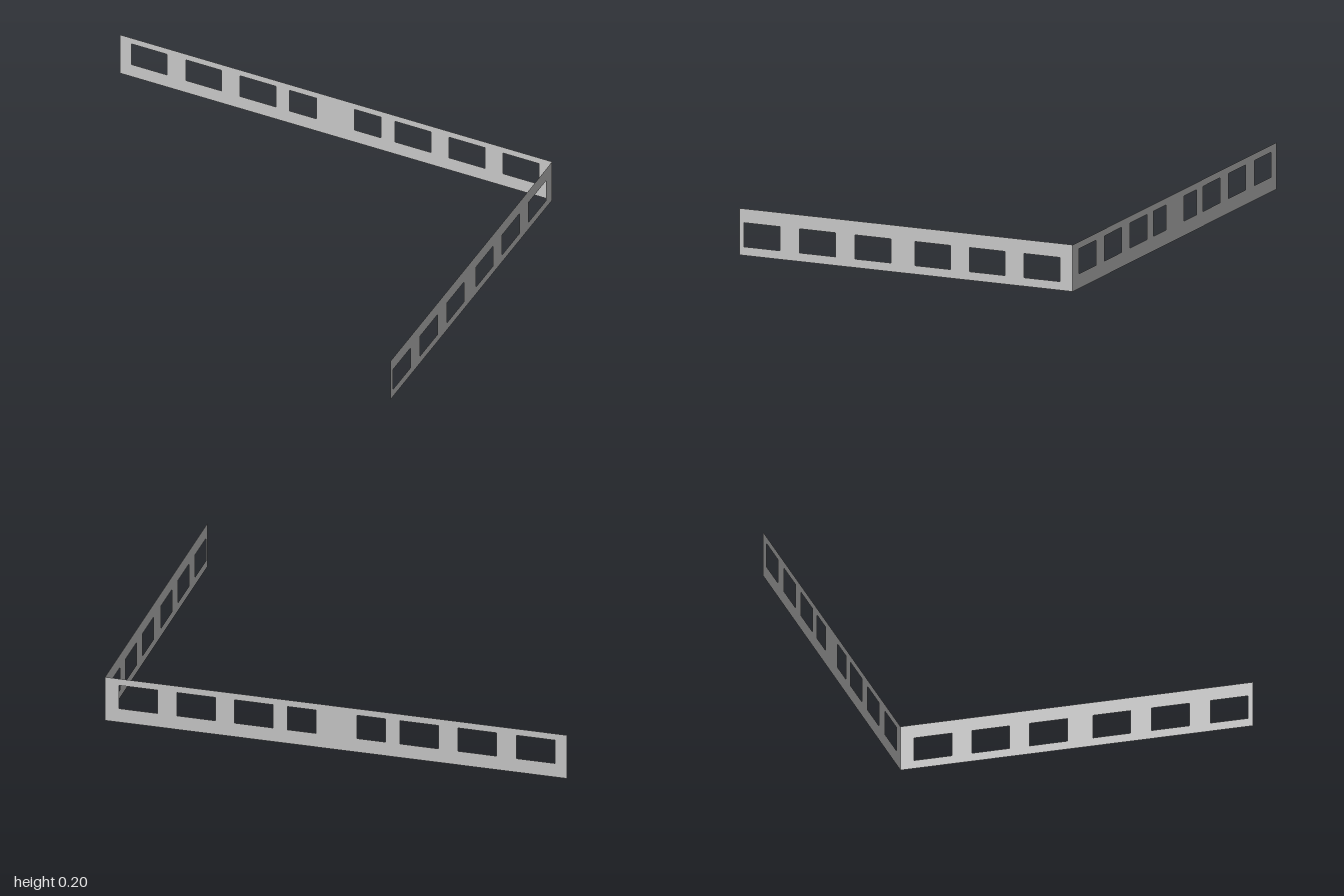
import * as THREE from 'three';

const HEIGHT = 0.2;
const HALF_WIDTH = 1;
const HALF_DEPTH = 0.765;

// Thin upright wall with a row of rectangular windows, each given as [start, end]
function windowWall(name, halfLength, sill, head, windows) {
  const rect = (path, a, b, bottom, top) =>
    path.moveTo(a, bottom).lineTo(b, bottom).lineTo(b, top).lineTo(a, top).closePath();
  const shape = rect(new THREE.Shape(), -halfLength, halfLength, 0, HEIGHT);
  for (const [a, b] of windows) shape.holes.push(rect(new THREE.Path(), a, b, sill, head));
  const material = new THREE.MeshStandardMaterial({ color: 0xcccccc, side: THREE.DoubleSide });
  const wall = new THREE.Mesh(new THREE.ShapeGeometry(shape), material);
  wall.name = name;
  return wall;
}

export function createModel() {
  const model = new THREE.Group();
  model.name = 'cornerFacade';

  // Long back wall: narrower windows beside the solid middle pier
  const backWall = windowWall('backWall', HALF_WIDTH, 0.063, 0.17, [
    [-0.947, -0.781], [-0.695, -0.529], [-0.444, -0.278], [-0.214, -0.091],
    [0.086, 0.209], [0.273, 0.439], [0.522, 0.689], [0.772, 0.939],
  ]);
  backWall.position.z = -HALF_DEPTH;

  // Side wall: six equal windows, its length running along z
  const starts = [-0.706, -0.455, -0.205, 0.07, 0.324, 0.579];
  const sideWall = windowWall('leftWall', HALF_DEPTH, 0.037, 0.14,
    starts.map((z) => [z, z + 0.164]));
  sideWall.rotation.y = -Math.PI / 2;
  sideWall.position.x = HALF_WIDTH;

  model.add(backWall, sideWall);
  return model;
}
